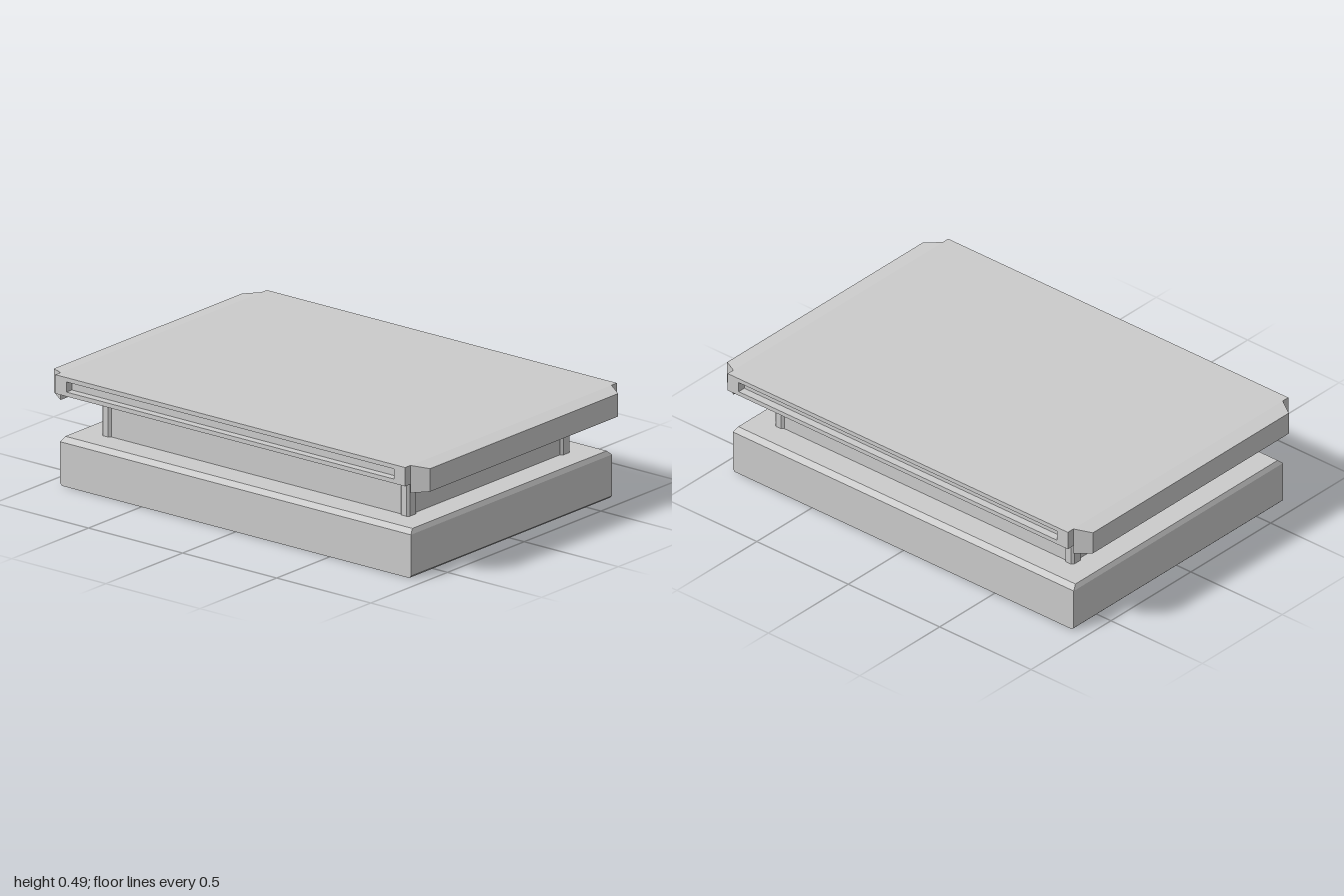
import * as THREE from 'three';

const material = new THREE.MeshStandardMaterial({ color: 0xcccccc, flatShading: true });

function addMesh(parent, name, geometry, x = 0, y = 0, z = 0) {
  const mesh = new THREE.Mesh(geometry, material);
  mesh.name = name;
  mesh.position.set(x, y, z);
  parent.add(mesh);
  return mesh;
}

// Box whose cross-section follows rows of [height, half width, half depth]
function steppedBox(rows) {
  const n = rows.length - 1;
  const geometry = new THREE.BoxGeometry(2, 1, 2, 1, n, 1).toNonIndexed();
  const p = geometry.attributes.position;
  for (let i = 0; i < p.count; i++) {
    const [y, w, d] = rows[Math.round((p.getY(i) + 0.5) * n)];
    p.setXYZ(i, p.getX(i) * w, y, p.getZ(i) * d);
  }
  geometry.computeVertexNormals();
  return geometry;
}

function rectangle(path, w, h) {
  path.moveTo(-w, -h);
  path.lineTo(w, -h);
  path.lineTo(w, h);
  path.lineTo(-w, h);
  path.closePath();
  return path;
}

// Upright post with cut corners
function postGeometry(w, d, h, cut) {
  const shape = new THREE.Shape([
    [-w + cut, -d], [w - cut, -d], [w, -d + cut], [w, d - cut],
    [w - cut, d], [-w + cut, d], [-w, d - cut], [-w, -d + cut],
  ].map(([x, y]) => new THREE.Vector2(x, y)));
  const geometry = new THREE.ExtrudeGeometry(shape, { depth: h, bevelEnabled: false });
  return geometry.rotateX(-Math.PI / 2);
}

export function createModel() {
  const model = new THREE.Group();
  model.name = 'platform';

  // Heavy base with bevelled upper rim
  addMesh(model, 'base', steppedBox([
    [0, 0.655, 0.922], [0.01, 0.655, 0.932], [0.19, 0.655, 0.932], [0.21, 0.633, 0.922],
  ]));

  // Middle block with a post in each corner
  addMesh(model, 'column', new THREE.BoxGeometry(1.04, 0.2, 1.61), 0, 0.31, 0);
  for (const sx of [-1, 1]) {
    for (const sz of [-1, 1]) {
      addMesh(model, 'cornerPost', postGeometry(0.03, 0.024, 0.2, 0.01), sx * 0.5, 0.21, sz * 0.793);
    }
  }

  // Top plate with a slotted rail along each long side
  const railDepth = 0.035;
  addMesh(model, 'topPlate', new THREE.BoxGeometry(2 * (0.69 - railDepth), 0.082, 1.86), 0, 0.451, 0);
  for (const s of [-1, 1]) {
    const shape = rectangle(new THREE.Shape(), 0.93, 0.041);
    shape.holes.push(rectangle(new THREE.Path(), 0.87, 0.022));
    const rail = new THREE.ExtrudeGeometry(shape, { depth: railDepth, bevelEnabled: false });
    rail.rotateY(s * Math.PI / 2);
    addMesh(model, 'sideRail', rail, s * (0.69 - railDepth), 0.451, 0);
  }

  // Tapered bumpers hanging below the plate at both ends
  for (const s of [-1, 1]) {
    const bumper = steppedBox([[0, 0.655, 0.06], [0.07, 0.613, 0.05]]);
    bumper.rotateX(s * Math.PI / 2);
    addMesh(model, 'endBumper', bumper, 0, 0.432, s * 0.93);
  }

  return model;
}
